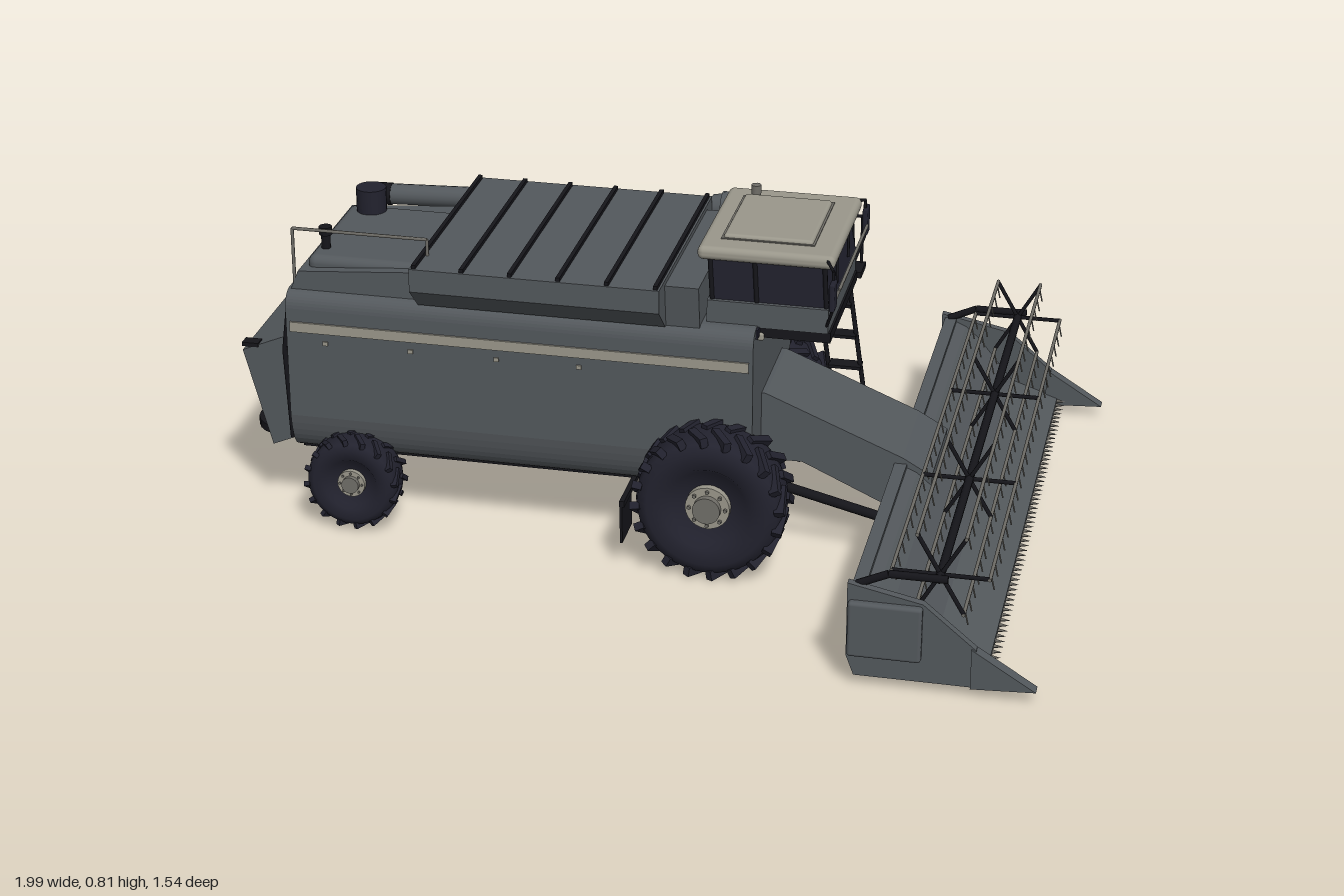
import * as THREE from 'three';
import { RoundedBoxGeometry } from 'three/addons/geometries/RoundedBoxGeometry.js';
import { mergeGeometries } from 'three/addons/utils/BufferGeometryUtils.js';

const mat = (name, color, side = THREE.FrontSide) => {
  const m = new THREE.MeshStandardMaterial({ color, side });
  m.name = name;
  return m;
};

export function createModel() {
  const root = new THREE.Group();
  root.name = 'combineHarvester';
  const grey = mat('bodyGrey', 0x53585c);
  const navy = mat('rubberAndGlass', 0x22222e);
  const black = mat('darkMetal', 0x15151a);
  const beige = mat('paleTrim', 0x9a978b);
  const steel = mat('dullSteel', 0x706e68);

  const add = (name, geo, material, parent = root) => {
    const m = new THREE.Mesh(geo, material);
    m.name = name;
    parent.add(m);
    return m;
  };
  const box = (x0, x1, y0, y1, z0, z1) =>
    new THREE.BoxGeometry(x1 - x0, y1 - y0, z1 - z0).translate((x0 + x1) / 2, (y0 + y1) / 2, (z0 + z1) / 2);
  const rbox = (x0, x1, y0, y1, z0, z1, r) =>
    new RoundedBoxGeometry(x1 - x0, y1 - y0, z1 - z0, 3, r).translate((x0 + x1) / 2, (y0 + y1) / 2, (z0 + z1) / 2);
  const rod = (a, b, r, sides = 6) => {
    const p = new THREE.Vector3(...a), d = new THREE.Vector3(...b).sub(p);
    const q = new THREE.Quaternion().setFromUnitVectors(new THREE.Vector3(0, 1, 0), d.clone().normalize());
    return new THREE.CylinderGeometry(r, r, d.length(), sides).applyQuaternion(q).translate(p.x + d.x / 2, p.y + d.y / 2, p.z + d.z / 2);
  };
  const rods = (points, r) => mergeGeometries(points.slice(1).map((p, i) => rod(points[i], p, r)));
  const shapeOf = (pts) => new THREE.Shape(pts.map((p) => new THREE.Vector2(...p)));
  // side profile in x, y swept across z
  const sweepZ = (pts, z0, z1) =>
    new THREE.ExtrudeGeometry(shapeOf(pts), { depth: z1 - z0, bevelEnabled: false }).translate(0, 0, z0);
  // symmetric cross-section in z, y swept along x
  const sweepX = (shape, x0, x1) =>
    new THREE.ExtrudeGeometry(shape, { depth: x1 - x0, bevelEnabled: false, curveSegments: 8 }).rotateY(Math.PI / 2).translate(x0, 0, 0);

  // Main body with curved lower flanks
  const s = new THREE.Shape();
  s.moveTo(-0.19, 0.17);
  s.lineTo(0.19, 0.17);
  s.quadraticCurveTo(0.235, 0.18, 0.245, 0.27);
  s.lineTo(0.245, 0.55);
  s.quadraticCurveTo(0.243, 0.585, 0.21, 0.59);
  s.lineTo(-0.21, 0.59);
  s.quadraticCurveTo(-0.243, 0.585, -0.245, 0.55);
  s.lineTo(-0.245, 0.27);
  s.quadraticCurveTo(-0.235, 0.18, -0.19, 0.17);
  add('body', sweepX(s, -0.87, 0.26), grey);
  add('belly', box(-0.86, 0.25, 0.163, 0.171, -0.19, 0.19), black);
  add('frontTrim', box(0.255, 0.265, 0.565, 0.588, -0.215, 0.215), navy);
  for (const k of [-1, 1]) {
    add('sideStripe', box(-0.86, 0.25, 0.492, 0.517, k * 0.247 - 0.003, k * 0.247 + 0.003), beige);
    add('headlight', rbox(0.255, 0.275, 0.552, 0.572, k * 0.17 - 0.025, k * 0.17 + 0.025, 0.006), beige);
  }
  for (const x of [-0.62, -0.4, -0.18, 0.03]) add('panelSeam', box(x, x + 0.006, 0.24, 0.56, -0.248, -0.24), black);
  for (const x of [-0.78, -0.57, -0.36, -0.16]) add('latch', box(x, x + 0.012, 0.462, 0.472, 0.242, 0.249), beige);

  // Straw hood and spreaders at the rear
  add('strawHood', sweepZ([[-0.93, 0.17], [-0.86, 0.2], [-0.86, 0.47], [-0.9, 0.455], [-0.995, 0.415]], -0.212, 0.212), grey);
  for (const k of [-1, 1]) {
    add('spreader', new THREE.CylinderGeometry(0.08, 0.08, 0.02, 20).translate(-0.915, 0.194, k * 0.11), black);
    add('rearLamp', box(-0.995, -0.955, 0.426, 0.436, k * 0.2 - 0.015, k * 0.2 + 0.015), black);
    add('rearRail', rods([[-0.87, 0.55, k * 0.222], [-0.885, 0.43, k * 0.222], [-0.875, 0.2, k * 0.222]], 0.006), black);
  }

  // Engine deck, stacks and guard rail
  add('engineDeck', sweepZ([[-0.865, 0.585], [-0.5, 0.585], [-0.5, 0.66], [-0.58, 0.655], [-0.845, 0.635]], -0.215, 0.215), grey);
  add('deckHump', rbox(-0.83, -0.5, 0.62, 0.665, -0.16, 0.19, 0.02), grey);
  add('airIntake', new THREE.CylinderGeometry(0.037, 0.037, 0.09, 20).translate(-0.765, 0.68, -0.125), navy);
  add('exhaust', rod([-0.8, 0.62, 0.13], [-0.8, 0.715, 0.13], 0.011, 10), black);
  add('exhaustCap', rod([-0.8, 0.7, 0.13], [-0.8, 0.72, 0.13], 0.016, 10), black);
  add('deckRail', rods([[-0.855, 0.59, 0.21], [-0.855, 0.742, 0.21], [-0.525, 0.742, 0.21], [-0.525, 0.68, 0.21]], 0.004), steel);

  // Flared grain tank with ribbed lid
  add('grainTank', sweepX(shapeOf([[-0.235, 0.585], [0.235, 0.585], [0.3, 0.645], [0.3, 0.702], [-0.3, 0.702], [-0.3, 0.645]]), -0.545, 0.05), grey);
  add('tankFront', sweepX(shapeOf([[-0.225, 0.58], [0.225, 0.58], [0.24, 0.69], [-0.24, 0.69]]), 0.04, 0.13), grey);
  for (let i = 0; i < 6; i++) {
    const x = -0.535 + i * 0.115;
    add('lidRib', box(x - 0.005, x + 0.005, 0.7, 0.711, -0.295, 0.295), black);
  }

  // Unloading tube and its elbow
  add('unloadingTube', rod([-0.79, 0.64, -0.295], [0.12, 0.66, -0.33], 0.026, 16), grey);
  add('tubeEnd', rod([-0.797, 0.64, -0.295], [-0.765, 0.64, -0.296], 0.028, 16), black);
  add('tubeElbow', new THREE.TubeGeometry(new THREE.CatmullRomCurve3([
    [0.05, 0.662, -0.33], [0.13, 0.672, -0.325], [0.165, 0.65, -0.315], [0.17, 0.59, -0.305]].map((p) => new THREE.Vector3(...p))), 16, 0.032, 14), grey);
  add('elbowCollar', rod([0.07, 0.665, -0.33], [0.095, 0.665, -0.33], 0.038, 16), grey);
  add('elbowBase', box(0.13, 0.21, 0.58, 0.61, -0.33, -0.2), grey);

  // Cab
  add('cabFloor', box(0.13, 0.43, 0.56, 0.585, -0.19, 0.19), black);
  add('cabBase', box(0.14, 0.425, 0.585, 0.645, -0.195, 0.195), grey);
  add('cabGlass', sweepZ([[0.15, 0.645], [0.425, 0.645], [0.41, 0.745], [0.14, 0.745]], -0.185, 0.185), navy);
  for (const k of [-1, 1]) for (const x of [0.145, 0.25, 0.413])
    add('cabPillar', rod([x + 0.006, 0.64, k * 0.184], [x, 0.745, k * 0.184], 0.006), black);
  add('roof', rbox(0.115, 0.437, 0.742, 0.775, -0.198, 0.195, 0.014), beige);
  add('roofHatch', rbox(0.165, 0.375, 0.765, 0.785, -0.135, 0.13, 0.008), beige);
  add('hatchSeam', box(0.16, 0.38, 0.772, 0.777, -0.14, 0.135), steel);
  add('beacon', rod([0.19, 0.77, -0.14], [0.19, 0.806, -0.14], 0.012, 12), steel);
  for (const z of [-0.08, 0.08]) add('wiper', rod([0.425, 0.665, z], [0.42, 0.73, z - 0.03], 0.003), black);
  for (const k of [-1, 1]) {
    add('mirrorArm', rods([[0.42, 0.6, k * 0.19], [0.44, 0.66, k * 0.225], [0.44, 0.755, k * 0.225], [0.42, 0.765, k * 0.19]], 0.004), black);
    add('mirror', rbox(0.435, 0.448, 0.665, 0.735, k * 0.235 - 0.02, k * 0.235 + 0.02, 0.005), navy);
  }
  add('frontGrabRail', rods([[0.43, 0.645, -0.2], [0.45, 0.7, -0.2], [0.45, 0.7, 0.2], [0.43, 0.645, 0.2]], 0.004), steel);

  // Entry platform, rail and ladder
  add('platform', box(0.18, 0.44, 0.565, 0.58, -0.26, -0.19), black);
  add('platformRail', rods([[0.2, 0.58, -0.255], [0.2, 0.7, -0.255], [0.43, 0.7, -0.255], [0.43, 0.57, -0.255]], 0.004), black);
  const ladder = [[0.315, 0.56], [0.385, 0.13]];
  for (const dx of [0, 0.08]) add('ladderRail', rod([0.315 + dx, 0.57, -0.255], [0.38 + dx, 0.13, -0.255], 0.006), black);
  for (let i = 0; i < 6; i++) {
    const t = i / 5, x = THREE.MathUtils.lerp(ladder[0][0], ladder[1][0], t), y = THREE.MathUtils.lerp(0.55, 0.14, t);
    add('ladderStep', box(x, x + 0.08, y - 0.004, y + 0.004, -0.275, -0.235), black);
  }

  // Wheels: lathe tyre, angled lugs, hub outside and pale rim inside
  const wheel = (name, x, y, r, zIn, zOut, side, lugs) => {
    const g = new THREE.Group(), w = zOut - zIn, h = w / 2, b = r * 0.955;
    g.name = name;
    const prof = [[0.3, -0.55], [0.52, -0.7], [0.6, -0.95], [0.82, -1], [0.95, -0.86], [1, -0.5],
      [1, 0.5], [0.95, 0.86], [0.82, 1], [0.6, 0.95], [0.52, 0.7], [0.3, 0.55]];
    add('tyre', new THREE.LatheGeometry(prof.map(([a, c]) => new THREE.Vector2(a * b, c * h)), 40).rotateX(Math.PI / 2), navy, g);
    const parts = [];
    for (let i = 0; i < lugs * 2; i++) {
      const k = i % 2 ? 1 : -1;
      parts.push(new THREE.BoxGeometry(r * 0.1, r * 0.13, h * 1.02).rotateY(k * 0.6).translate(0, r * 0.935, k * h * 0.5)
        .rotateZ((i / lugs) * Math.PI));
    }
    add('lugs', mergeGeometries(parts), navy, g);
    const disc = (rad, z0, z1, n, m) => add(n, rod([0, 0, z0], [0, 0, z1], rad, 24), m, g);
    disc(r * 0.5, -h * 0.6, h * 0.55, 'rim', navy);
    disc(r * 0.58, -h * 0.8, -h * 0.58, 'innerRim', beige);
    disc(r * 0.29, h * 0.5, h * 0.8, 'hub', beige);
    disc(r * 0.18, h * 0.8, h * 1.02, 'hubCap', steel);
    for (let i = 0; i < 8; i++) {
      const a = (i / 8) * Math.PI * 2, c = r * 0.235;
      add('wheelBolt', rod([Math.cos(a) * c, Math.sin(a) * c, h * 0.8], [Math.cos(a) * c, Math.sin(a) * c, h * 0.9], r * 0.025), steel, g);
    }
    g.position.set(x, y, side * (zIn + zOut) / 2);
    if (side < 0) g.rotation.y = Math.PI;
    root.add(g);
  };
  for (const k of [-1, 1]) {
    wheel('frontWheel', 0.175, 0.183, 0.183, 0.215, 0.362, k, 20);
    wheel('rearWheel', -0.71, 0.124, 0.117, 0.205, 0.302, k, 16);
    add('mudFlap', box(-0.036, -0.03, 0.065, 0.17, k * 0.29 - 0.05, k * 0.29 + 0.05), black);
    add('flapBracket', box(-0.037, -0.025, 0.16, 0.175, Math.min(k * 0.15, k * 0.34), Math.max(k * 0.15, k * 0.34)), black);
  }
  add('frontAxle', rod([0.175, 0.183, -0.25], [0.175, 0.183, 0.25], 0.045, 14), black);
  add('rearAxle', rod([-0.71, 0.124, -0.23], [-0.71, 0.124, 0.23], 0.025, 12), black);
  add('rearAxleMount', box(-0.76, -0.66, 0.12, 0.18, -0.06, 0.06), black);

  // Feeder house
  add('feederHouse', sweepZ([[0.25, 0.22], [0.36, 0.22], [0.58, 0.12], [0.67, 0.12], [0.67, 0.215], [0.6, 0.255], [0.27, 0.39], [0.25, 0.39]], -0.132, 0.132), grey);
  for (const k of [-1, 1]) add('liftRam', rod([0.2, 0.19, k * 0.15], [0.57, 0.1, k * 0.15], 0.012, 10), black);

  // Cutting header trough, ends, dividers
  add('headerTrough', sweepZ([[0.585, 0.03], [0.88, 0.025], [0.88, 0.04], [0.76, 0.08], [0.67, 0.19], [0.635, 0.22], [0.6, 0.235], [0.585, 0.235]], -0.745, 0.745), grey);
  add('headerTopBeam', box(0.58, 0.61, 0.215, 0.24, -0.745, 0.745), grey);
  for (let i = 0; i < 9; i++) add('underRib', box(0.6, 0.87, 0.018, 0.03, -0.7 + i * 0.175 - 0.005, -0.7 + i * 0.175 + 0.005), black);
  for (const k of [-1, 1]) {
    const z = k * 0.745;
    add('endPlate', sweepZ([[0.572, 0.07], [0.59, 0.022], [0.86, 0.022], [0.86, 0.115], [0.74, 0.215], [0.572, 0.25]], z - 0.01, z + 0.01), grey);
    add('divider', sweepZ([[0.85, 0.02], [0.995, 0.028], [0.85, 0.118]], z - 0.015, z + 0.015), grey);
    add('driveCover', rbox(0.575, 0.74, 0.075, 0.21, k * 0.76 - 0.012, k * 0.76 + 0.012, 0.008), grey);
    add('reelArm', rods([[0.59, 0.24, k * 0.735], [0.66, 0.272, k * 0.735], [0.79, 0.272, k * 0.735]], 0.009), black);
  }
  const teeth = [];
  for (let i = 0; i < 60; i++) teeth.push(new THREE.ConeGeometry(0.006, 0.025, 4).rotateZ(-Math.PI / 2).translate(0.89, 0.033, -0.73 + i * 1.46 / 59));
  add('knifeGuards', mergeGeometries(teeth), steel);

  // Reel with six bats, spiders and tines
  const cx = 0.77, cy = 0.27, R = 0.108;
  add('reelShaft', rod([cx, cy, -0.735], [cx, cy, 0.735], 0.01, 10), black);
  const tines = [];
  for (let i = 0; i < 6; i++) {
    const a = (i * Math.PI) / 3, x = cx + Math.cos(a) * R, y = cy + Math.sin(a) * R;
    add('reelBat', rod([x, y, -0.715], [x, y, 0.715], 0.0045), steel);
    for (const z of [-0.71, -0.235, 0.235, 0.71]) add('reelSpoke', rod([cx, cy, z], [x, y, z], 0.005), black);
    for (let j = 0; j < 23; j++) {
      const z = -0.69 + j * 1.38 / 22;
      tines.push(rod([x, y, z], [x + 0.008, y - 0.035, z], 0.0018, 4));
    }
  }
  add('reelTines', mergeGeometries(tines), steel);
  return root;
}
